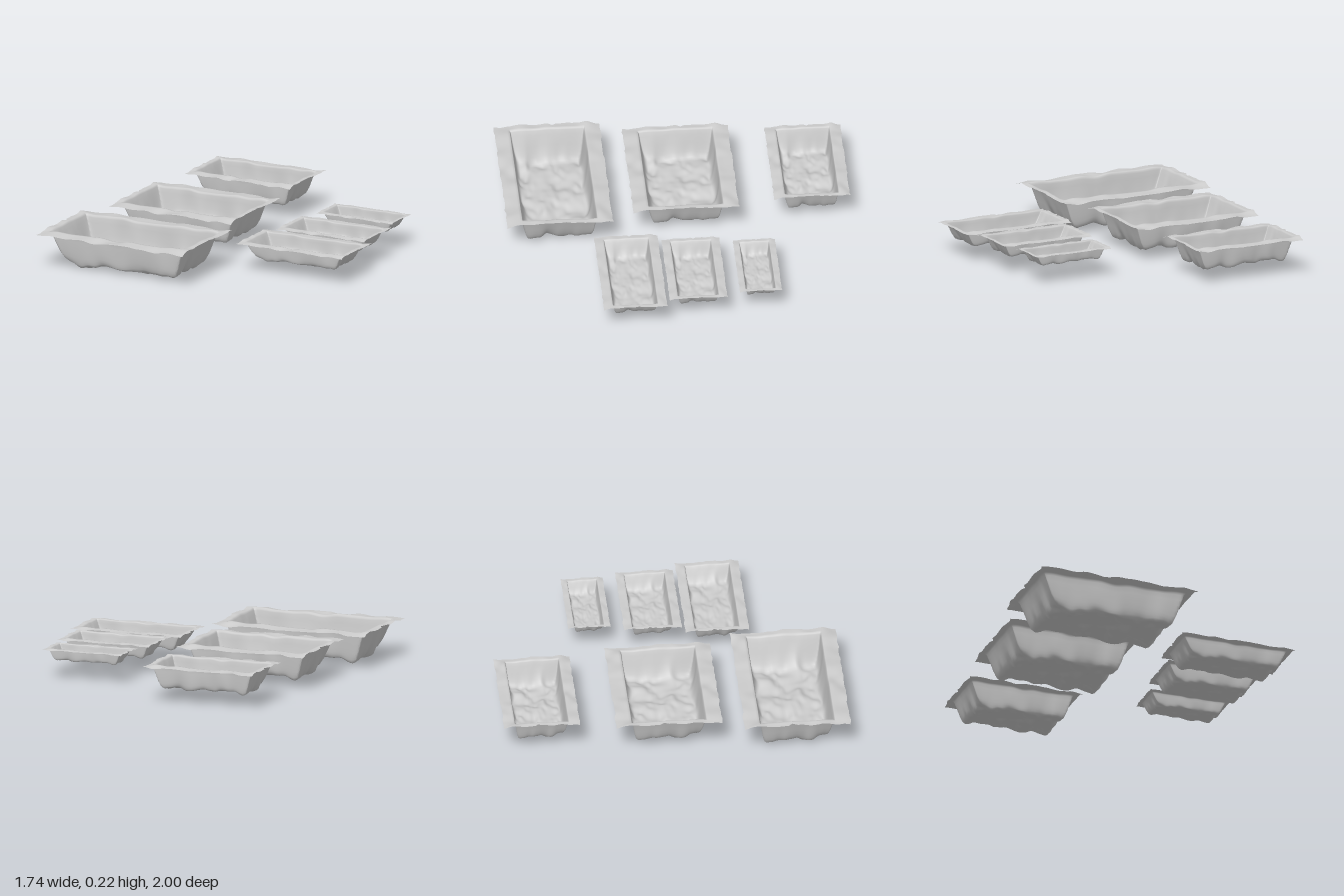
import * as THREE from 'three';

// Seeded smooth value noise, -1..1
function hash(i, j, seed) {
  const s = Math.sin(i * 127.1 + j * 311.7 + seed * 74.7) * 43758.5453;
  return (s - Math.floor(s)) * 2 - 1;
}
function noise(x, y, seed) {
  const i = Math.floor(x), j = Math.floor(y);
  const ease = t => t * t * (3 - 2 * t);
  const a = ease(x - i), b = ease(y - j);
  const mix = THREE.MathUtils.lerp;
  return mix(
    mix(hash(i, j, seed), hash(i + 1, j, seed), a),
    mix(hash(i, j + 1, seed), hash(i + 1, j + 1, seed), a), b);
}

// Wall profiles: [distance from centre, depth]
const PROFILE_X = [[0.7, 1], [0.755, 0.88], [0.8, 0.66], [0.85, 0.32], [0.89, 0.06], [0.91, 0]];
const PROFILE_Z = [[0.55, 1], [0.6, 0.9], [0.635, 0.72], [0.665, 0.4], [0.685, 0.08], [0.705, 0]];

function depthAt(profile, d) {
  if (d <= profile[0][0]) return 1;
  for (let i = 1; i < profile.length; i++) {
    const [d0, h0] = profile[i - 1], [d1, h1] = profile[i];
    if (d <= d1) return THREE.MathUtils.lerp(h0, h1, (d - d0) / (d1 - d0));
  }
  return 0;
}

// Grid lines that crowd together on the walls
function gridLines(profile, floorSteps, rimSteps) {
  const inner = profile[0][0], outer = profile[profile.length - 1][0];
  const half = [];
  for (let i = 1; i < floorSteps; i++) half.push(inner * i / floorSteps);
  profile.forEach(([d], i) => {
    half.push(d);
    if (i < profile.length - 1) half.push((d + profile[i + 1][0]) / 2);
  });
  for (let i = 1; i <= rimSteps; i++) half.push(outer + (1 - outer) * i / rimSteps);
  return [...half.map(v => -v).reverse(), 0, ...half];
}

// One crumpled tray sheet: x and z in -1..1, rim at y = 0, floor near y = -1
function trayGeometry() {
  const xs = gridLines(PROFILE_X, 24, 4), zs = gridLines(PROFILE_Z, 16, 7);
  const positions = [], indices = [];
  for (const z of zs) {
    for (const x of xs) {
      const hx = depthAt(PROFILE_X, Math.abs(x)), hz = depthAt(PROFILE_Z, Math.abs(z));
      // smooth minimum rounds the vertical corners
      const k = 0.12 * Math.min(1, 4 * hx, 4 * hz);
      const m = Math.max(k - Math.abs(hx - hz), 0);
      const h = Math.max(0, Math.min(hx, hz) - (k > 0 ? m * m / (4 * k) : 0));

      // dented floor and gently wavy rim
      const dent = 0.09 * noise(x * 4 + 9, z * 4.5 + 5, 1) + 0.05 * noise(x * 9, z * 9, 2);
      const wave = 0.04 * noise(x * 5, z * 4, 3);
      const droop = 0.04 * Math.max(0, (Math.abs(z) - 0.75) / 0.25);
      const y = -h * 0.92 + h * dent + (1 - h) * (wave - droop);

      // bulging walls
      let px = x + 0.022 * h * noise(z * 4, x * 4, 4);
      let pz = z + 0.035 * h * noise(x * 5, z * 4, 5);

      // ragged outer edges
      const ex = Math.max(0, (Math.abs(x) - 0.91) / 0.09), ez = Math.max(0, (Math.abs(z) - 0.7) / 0.3);
      const notch = x < 0 ? 0.04 * Math.exp(-Math.pow((z + 0.1) / 0.05, 2)) : 0;
      px -= Math.sign(x) * ex * (0.012 + 0.012 * noise(z * 8, Math.sign(x), 6) + notch);
      pz -= Math.sign(z) * ez * (0.015 + 0.015 * noise(x * 11, Math.sign(z), 7));
      positions.push(px, y, pz);
    }
  }
  const n = xs.length;
  for (let j = 0; j < zs.length - 1; j++) {
    for (let i = 0; i < n - 1; i++) {
      const a = j * n + i, b = a + 1, c = a + n, d = c + 1;
      indices.push(a, c, b, b, c, d);
    }
  }
  const geometry = new THREE.BufferGeometry();
  geometry.setAttribute('position', new THREE.Float32BufferAttribute(positions, 3));
  geometry.setIndex(indices);
  geometry.computeVertexNormals();
  return geometry;
}

// Name, x range, z range, rim height, depth
const TRAYS = [
  ['largeTrayFront', -0.87, 0.09, 0.38, 1.0, 0.21, 0.21],
  ['largeTrayMiddle', -0.79, 0.01, -0.355, 0.265, 0.21, 0.185],
  ['largeTrayBack', -0.735, -0.045, -1.0, -0.555, 0.21, 0.155],
  ['smallTrayFront', 0.175, 0.868, 0.135, 0.507, 0.17, 0.108],
  ['smallTrayMiddle', 0.23, 0.808, -0.217, 0.122, 0.17, 0.096],
  ['smallTrayBack', 0.273, 0.77, -0.535, -0.288, 0.17, 0.076],
];

export function createModel() {
  const group = new THREE.Group();
  group.name = 'trays';
  const geometry = trayGeometry();
  const material = new THREE.MeshStandardMaterial({ color: 0xcccccc, side: THREE.DoubleSide });
  for (const [name, x0, x1, z0, z1, rim, depth] of TRAYS) {
    const tray = new THREE.Mesh(geometry, material);
    tray.name = name;
    tray.position.set((x0 + x1) / 2, rim, (z0 + z1) / 2);
    tray.scale.set((x1 - x0) / 2, depth, (z1 - z0) / 2);
    group.add(tray);
  }
  return group;
}
